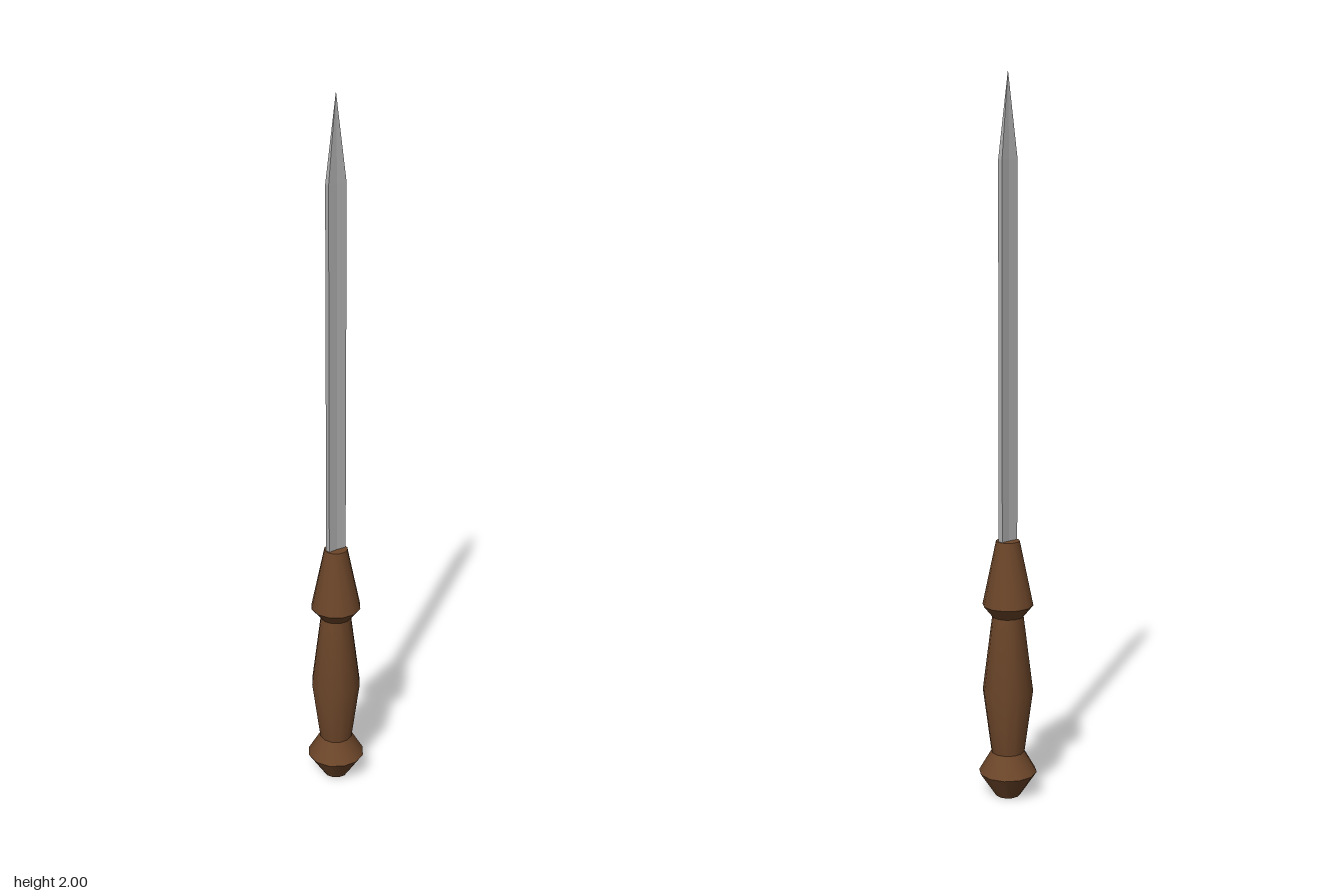
import * as THREE from 'three';
import { toCreasedNormals } from 'three/addons/utils/BufferGeometryUtils.js';

// Straight blade: a hollow-ground cross-section swept upward, closing to a point.
function bladeGeometry() {
  const section = [
    [-0.028, 0.0075], [0, 0.005], [0.028, 0.0075],
    [0.028, -0.0075], [0, -0.005], [-0.028, -0.0075],
  ];
  const base = 0.72, shoulder = 1.77, tip = [0, 2, 0];
  const positions = [];
  section.forEach(([ax, az], i) => {
    const [bx, bz] = section[(i + 1) % section.length];
    const a = [ax, base, az], b = [bx, base, bz];
    const c = [bx, shoulder, bz], d = [ax, shoulder, az];
    positions.push(...a, ...b, ...c, ...a, ...c, ...d, ...d, ...c, ...tip);
  });
  const geometry = new THREE.BufferGeometry();
  geometry.setAttribute('position', new THREE.Float32BufferAttribute(positions, 3));
  geometry.computeVertexNormals();
  return geometry;
}

// Turned handle: twelve-sided lathe with pommel, grip swell and collar.
function handleGeometry() {
  const profile = [
    [0, 0], [0.035, 0], [0.082, 0.07], [0.047, 0.13], [0.071, 0.31],
    [0.044, 0.525], [0.071, 0.558], [0.033, 0.74], [0, 0.74],
  ].map(([r, y]) => new THREE.Vector2(r, y));
  const lathe = new THREE.LatheGeometry(profile, 12, THREE.MathUtils.degToRad(10));
  return toCreasedNormals(lathe, THREE.MathUtils.degToRad(35));
}

export function createModel() {
  const steel = new THREE.MeshStandardMaterial({ color: 0xb0b0b0 });
  steel.name = 'steel';
  const wood = new THREE.MeshStandardMaterial({ color: 0x6b4529 });
  wood.name = 'wood';

  const group = new THREE.Group();
  group.name = 'knife';

  const handle = new THREE.Mesh(handleGeometry(), wood);
  handle.name = 'handle';
  const blade = new THREE.Mesh(bladeGeometry(), steel);
  blade.name = 'blade';

  group.add(handle, blade);
  return group;
}
